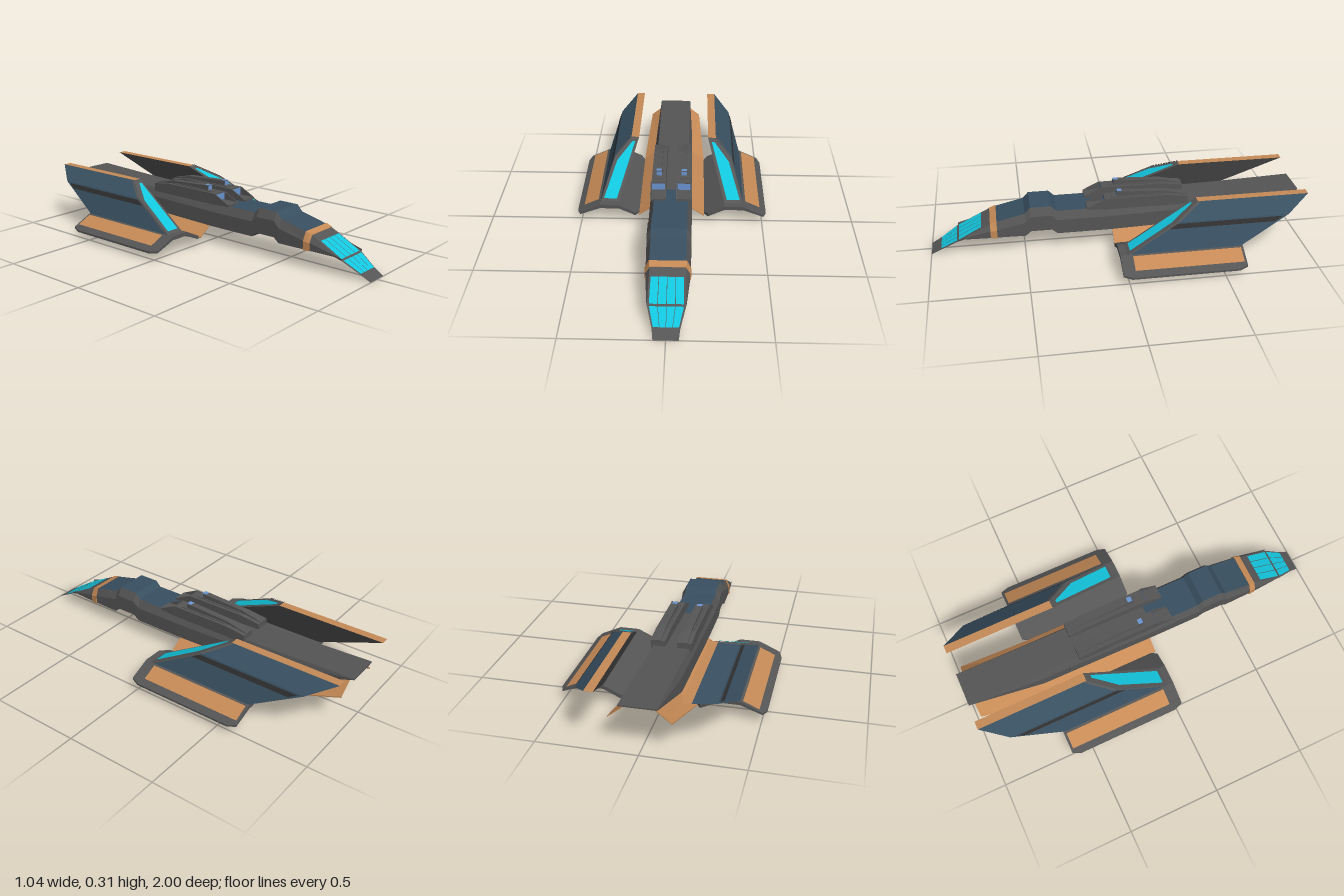
import * as THREE from 'three';

const paint = (name, color) => {
  const m = new THREE.MeshStandardMaterial({ color, side: THREE.DoubleSide });
  m.name = name;
  return m;
};

// One flat-shaded mesh from a list of polygons (each a loop of [x, y, z])
function polyMesh(name, polys, material) {
  const pos = [];
  for (const p of polys)
    for (let i = 1; i < p.length - 1; i++) pos.push(...p[0], ...p[i], ...p[i + 1]);
  const geo = new THREE.BufferGeometry();
  geo.setAttribute('position', new THREE.Float32BufferAttribute(pos, 3));
  geo.computeVertexNormals();
  const mesh = new THREE.Mesh(geo, material);
  mesh.name = name;
  return mesh;
}

// Side quads between successive closed rings; skip drops one edge of the ring
function skin(rings, skip = -1) {
  const out = [];
  for (let r = 0; r < rings.length - 1; r++) {
    const a = rings[r], b = rings[r + 1];
    a.forEach((p, i) => {
      const j = (i + 1) % a.length;
      if (i !== skip) out.push([p, a[j], b[j], b[i]]);
    });
  }
  return out;
}
const solid = (rings) => [...skin(rings), rings[0], rings[rings.length - 1]];

// A side profile of [z, y] points given width from x0 to x1
const prism = (profile, x0, x1) =>
  solid([x0, x1].map((x) => profile.map(([z, y]) => [x, y, z])));

// Part of a quad (u along a-b, v along a-d), lifted off it towards "out"
function panel([a, b, c, d], u0, u1, v0, v1, out, lift = 0.003) {
  const V = (p) => new THREE.Vector3(...p);
  const n = V(b).sub(V(a)).cross(V(d).sub(V(a))).normalize();
  if (n.dot(V(out)) < 0) n.negate();
  const at = (u, v) => V(a).lerp(V(b), u).lerp(V(d).lerp(V(c), u), v)
    .addScaledVector(n, lift).toArray();
  return [at(u0, v0), at(u1, v0), at(u1, v1), at(u0, v1)];
}

export function createModel() {
  const grey = paint('hull grey', 0x555555);
  const dark = paint('recess dark', 0x303030);
  const navy = paint('slate blue', 0x384f60);
  const orange = paint('copper orange', 0xc68a56);
  const teal = paint('glass teal', 0x12c6de);
  const blue = paint('sensor blue', 0x6a94d0);
  const model = new THREE.Group();
  model.name = 'spaceship';
  const add = (name, polys, mat, to = model) => to.add(polyMesh(name, polys, mat));

  // Fuselage: z, top, bottom, top half-width, side half-width
  const ring = ([z, top, bot, wt, ws]) => {
    const sh = top - Math.min(0.045, (top - bot) * 0.5);
    return [[-wt, top, z], [wt, top, z], [ws, sh, z], [ws, bot, z], [-ws, bot, z], [-ws, sh, z]];
  };
  const stations = [
    [0.65, 0.185, 0.1, 0.09, 0.108], [0.495, 0.222, 0.1, 0.09, 0.112],
    [0.465, 0.255, 0.125, 0.09, 0.112], [0.355, 0.255, 0.125, 0.09, 0.112],
    [0.325, 0.225, 0.1, 0.09, 0.112], [0.05, 0.225, 0.1, 0.09, 0.112],
    [-0.6, 0.24, 0.115, 0.09, 0.108], [-1, 0.255, 0.248, 0.09, 0.092],
  ].map(ring);
  add('fuselage', [...skin(stations, 0), stations[0], stations[7]], grey);
  const deck = stations.slice(1).map((b, i) => [stations[i][0], stations[i][1], b[1], b[0]]);
  add('frontDeck', deck.slice(0, 5), navy);
  add('rearDeck', deck.slice(5), grey);
  add('collar', solid([[0.68, 0.178, 0.098, 0.088, 0.11], [0.645, 0.19, 0.098, 0.092, 0.114]].map(ring)), orange);

  // Cockpit: one sloping sheet with cheeks and eight glass panes
  const slope = [[0.68, 0.176, 0.086], [0.72, 0.155, 0.088], [0.855, 0.084, 0.092], [0.95, 0.027, 0.066], [1, 0, 0.06]];
  const rows = slope.slice(1).map(([z, y, w], i) => {
    const [z0, y0, w0] = slope[i];
    return [[-w0, y0, z0], [w0, y0, z0], [w, y, z], [-w, y, z]];
  });
  add('canopyFrame', rows, grey);
  for (const s of [1, -1])
    add('cockpitCheek', [
      [[s * 0.086, 0.176, 0.68], [s * 0.108, 0.14, 0.68], [s * 0.092, 0.084, 0.855], [s * 0.088, 0.155, 0.72]],
      [[s * 0.108, 0.14, 0.68], [s * 0.108, 0.1, 0.68], [s * 0.094, 0.096, 0.855], [s * 0.092, 0.084, 0.855]],
    ], grey);
  const panes = [];
  for (const row of rows.slice(1, 3))
    for (let i = 0; i < 4; i++)
      for (const up of [1, -1])
        panes.push(panel(row, 0.05 + i * 0.228, 0.05 + i * 0.228 + 0.212, 0.04, 0.95, [0, up, 0]));
  add('canopyGlass', panes, teal);

  // Everything below comes in mirrored pairs
  for (const s of [1, -1]) {
    const side = new THREE.Group();
    side.name = s > 0 ? 'leftSide' : 'rightSide';
    model.add(side);
    const put = (name, polys, mat) =>
      add(name, polys.map((p) => p.map(([x, y, z]) => [s * x, y, z])), mat, side);

    // Dorsal pod with a hooded sensor, and a smaller one on top
    put('pod', prism([[0.07, 0.22], [0.07, 0.28], [-0.27, 0.28], [-0.38, 0.265], [-0.38, 0.22]], 0.03, 0.106), grey);
    put('podSill', prism([[0.165, 0.226], [0.165, 0.236], [0.07, 0.236], [0.07, 0.22]], 0.03, 0.106), grey);
    for (const x of [0.027, 0.105])
      put('podCheek', prism([[0.165, 0.234], [0.07, 0.281], [0.07, 0.234]], x, x + 0.005), grey);
    put('podSensor', [[[0.034, 0.238, 0.073], [0.103, 0.238, 0.073], [0.103, 0.276, 0.073], [0.034, 0.276, 0.073]]], blue);
    put('upperPod', prism([[0, 0.275], [0, 0.31], [-0.26, 0.296], [-0.38, 0.268], [-0.38, 0.25]], 0.052, 0.084), grey);
    put('upperPodBase', prism([[0.03, 0.278], [0.03, 0.284], [-0.25, 0.284], [-0.25, 0.278]], 0.045, 0.092), grey);
    put('upperPodSensor', [
      [[0.053, 0.285, 0.003], [0.083, 0.285, 0.003], [0.083, 0.309, 0.003], [0.053, 0.309, 0.003]],
      [[0.054, 0.312, 0], [0.082, 0.312, 0], [0.082, 0.311, -0.025], [0.054, 0.311, -0.025]],
    ], blue);

    // Lower side fin, swept up at the rear
    const fin = [[0.03, 0.1, 0.105, 0.18, 0.05], [-0.6, 0.09, 0.115, 0.18, 0.052], [-0.97, 0.06, 0.245, 0.15, 0.172]];
    put('sideFin', solid(fin.map(([z, xi, yi, xo, yo]) =>
      [[xi, yi, z], [xo, yo, z], [xo, yo - 0.006, z], [xi, yi - 0.006, z]])), orange);

    // Upright wing: a cross-section sheared backwards with height
    const section = [[0.292, 0.105], [0.395, 0.105], [0.335, 0.24], [0.245, 0.305], [0.2, 0.305]];
    const front = section.map(([x, y]) => [x, y, -(y - 0.105) * 2]);
    const back = front.map(([x, y, z]) => [x, y, z - 0.6]);
    const face = (i) => [front[i], front[(i + 1) % 5], back[(i + 1) % 5], back[i]];
    put('wingOuter', [face(1), face(2)], navy);
    put('wingTop', [face(3)], orange);
    put('wingInner', [face(0), face(4)], grey);
    put('wingFront', [front], grey);
    put('wingRear', [back], orange);
    put('wingGroove', [panel(face(1), 0.78, 0.95, 0.03, 0.97, [1, 0.3, 0])], dark);
    put('wingLeadingEdge', [
      panel(face(1), 0, 1, 0, 0.03, [1, 0.3, 0]), panel(face(2), 0, 1, 0, 0.03, [1, 1, 0])], grey);
    const glass = [[0.304, 0.117], [0.376, 0.117], [0.318, 0.231], [0.238, 0.291], [0.222, 0.291]];
    put('wingGlass', [glass.map(([x, y]) => [x, y + 0.002, -(y - 0.105) * 2 + 0.004])], teal);

    // Lower wing: bent plate with clipped outer corners
    const span = [[0.18, 0.054, -0.03], [0.2, 0.064, 0], [0.29, 0.107, 0], [0.395, 0.107, 0], [0.505, 0.056, 0], [0.522, 0.048, -0.045]];
    const t = (x) => (x > 0.5 || x < 0.19 ? 0.01 : 0.02);
    const plate = span.map(([x, y, cut]) => {
      const z0 = 0.033 + cut, z1 = -0.612 - cut;
      return [[x, y, z0], [x, y, z1], [x, y - t(x), z1], [x, y - t(x), z0]];
    });
    put('lowerWing', solid(plate), grey);
    const top = (i) => [plate[i][0], plate[i + 1][0], plate[i + 1][1], plate[i][1]];
    const under = (i) => [plate[i][3], plate[i + 1][3], plate[i + 1][2], plate[i][2]];
    put('lowerWingPanels', [
      panel(top(3), 0.1, 0.83, 0.1, 0.98, [0, 1, 0]),
      panel(under(3), 0.1, 0.83, 0.06, 0.96, [0, -1, 0])], orange);
    put('lowerWingUnderside', [1, 2].map((i) => panel(under(i), 0.08, 0.92, 0.06, 0.96, [0, -1, 0])), navy);
  }
  return model;
}
